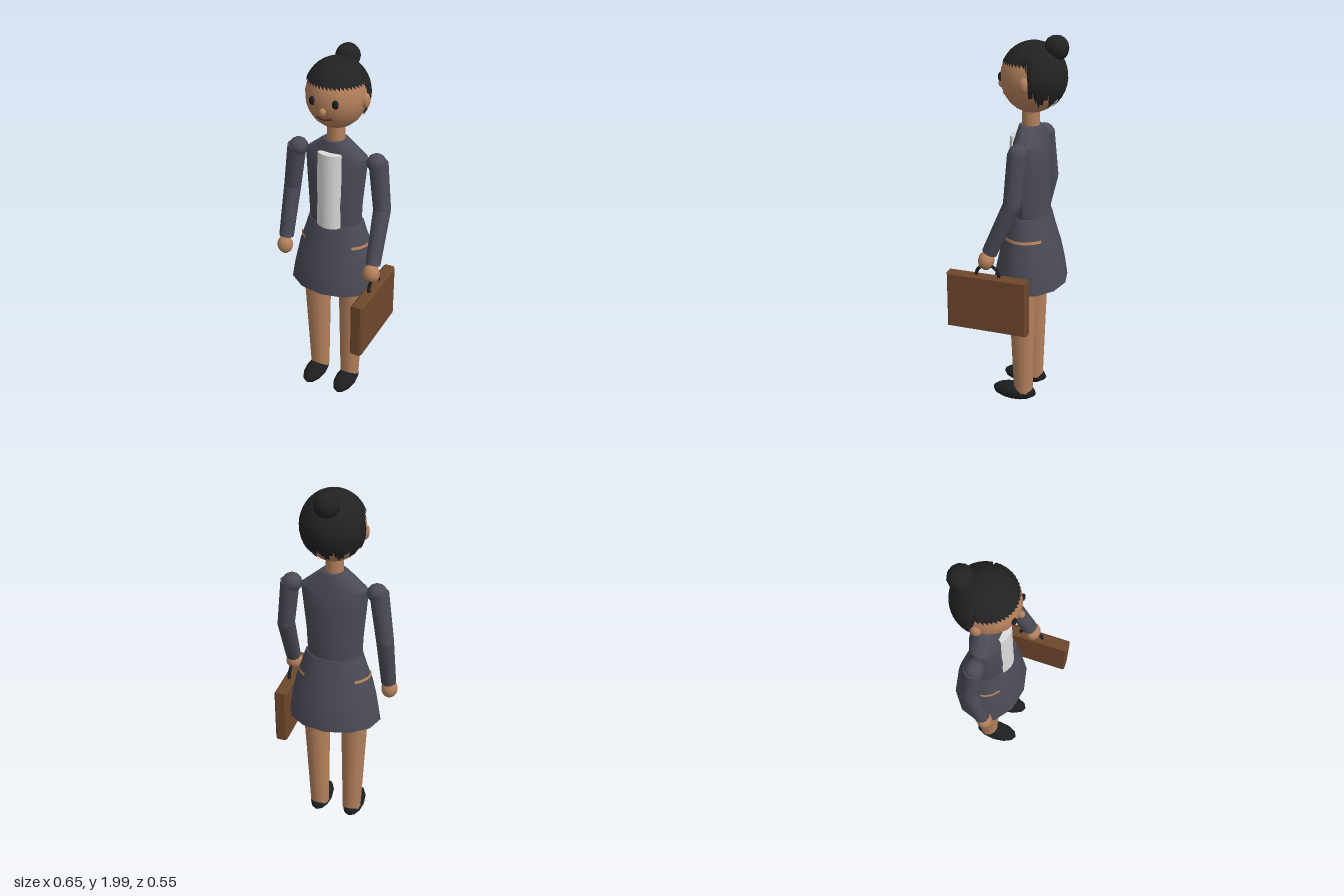
import * as THREE from 'three';
import { mergeVertices, toCreasedNormals } from 'three/addons/utils/BufferGeometryUtils.js';

const mat = (name, color, side = THREE.FrontSide) => {
  const m = new THREE.MeshStandardMaterial({ color, side });
  m.name = name;
  return m;
};

export function createModel() {
  const skin = mat('skin', 0xb5815c);
  const suit = mat('suit', 0x4a4b56);
  const hair = mat('hair', 0x222222, THREE.DoubleSide);
  const black = mat('black', 0x1d1e20);
  const shirtWhite = mat('shirtWhite', 0xdcdcdc);
  const leather = mat('leather', 0x6e472c);
  const lip = mat('lip', 0x5c3022);

  const model = new THREE.Group();
  model.name = 'officeWorker';

  const add = (name, geo, material, parent = model) => {
    const mesh = new THREE.Mesh(geo, material);
    mesh.name = name;
    parent.add(mesh);
    return mesh;
  };

  // Ellipsoid at a centre with three radii
  const ball = (name, material, c, r, seg = 12, parent = model) => {
    const geo = new THREE.SphereGeometry(1, seg, Math.max(8, seg * 0.6 | 0));
    geo.scale(...r).translate(...c);
    return add(name, geo, material, parent);
  };

  // Tapered limb between two points
  const limb = (name, material, a, b, ra, rb, parent = model) => {
    const from = new THREE.Vector3(...a), to = new THREE.Vector3(...b);
    const dir = to.clone().sub(from);
    const mesh = add(name, new THREE.CylinderGeometry(rb, ra, dir.length(), 12), material, parent);
    mesh.position.copy(from).addScaledVector(dir, 0.5);
    mesh.quaternion.setFromUnitVectors(new THREE.Vector3(0, 1, 0), dir.normalize());
    return mesh;
  };

  // Elliptical body from rings [y, rx, rz, centre z], listed upwards
  const rings = (list, phi = 0, sweep = Math.PI * 2, seg = 12) => {
    const geo = new THREE.LatheGeometry(list.map(r => new THREE.Vector2(1, r[0])), seg, phi, sweep);
    const p = geo.attributes.position;
    for (let i = 0; i < p.count; i++) {
      const [y, rx, rz, cz] = list[i % list.length];
      p.setXYZ(i, p.getX(i) * rx, y, p.getZ(i) * rz + cz);
    }
    geo.deleteAttribute('normal');
    geo.deleteAttribute('uv');
    return toCreasedNormals(mergeVertices(geo), 0.75);
  };

  // Jacket, shirt front and skirt
  add('jacket', rings([
    [1.07, 0.146, 0.1, -0.08], [1.2, 0.152, 0.1, -0.078], [1.35, 0.166, 0.092, -0.08],
    [1.46, 0.176, 0.083, -0.083], [1.545, 0.07, 0.062, -0.078], [1.546, 0.001, 0.001, -0.078],
  ]), suit);
  add('shirtFront', rings([
    [1.075, 0.1, 0.122, -0.078], [1.3, 0.1, 0.116, -0.08], [1.49, 0.1, 0.11, -0.08],
    [1.495, 0.001, 0.001, -0.08],
  ], -0.75, 1.5, 6), mat('shirtPanel', 0xdcdcdc, THREE.DoubleSide)).material = shirtWhite;
  shirtWhite.side = THREE.DoubleSide;
  add('skirt', rings([
    [0.702, 0.001, 0.001, -0.082], [0.7, 0.252, 0.192, -0.082], [0.8, 0.236, 0.176, -0.082],
    [0.9, 0.214, 0.154, -0.082], [1.0, 0.18, 0.123, -0.082], [1.08, 0.155, 0.105, -0.08],
    [1.082, 0.001, 0.001, -0.08],
  ]), suit);

  // Slim hip slits showing skin on both sides of the skirt
  for (const s of [1, -1]) {
    add('hipSlit', rings([
      [0.963, 0.196, 0.139, -0.082], [0.977, 0.191, 0.134, -0.082],
    ], s * Math.PI / 2 - 0.8, 1.6, 6), skin);
  }

  // Legs and shoes
  for (const s of [1, -1]) {
    limb('leg', skin, [s * 0.094, 0.06, -0.073], [s * 0.106, 0.74, -0.068], 0.052, 0.076);
    ball('shoe', black, [s * 0.096, 0.053, -0.022], [0.059, 0.047, 0.124]);
  }

  // Arms
  const arm = (name, shoulder, elbow, wrist, hand, handSize) => {
    const g = new THREE.Group();
    g.name = name;
    model.add(g);
    ball('shoulder', suit, shoulder, [0.052, 0.05, 0.05], 12, g);
    const top = [shoulder[0] + Math.sign(shoulder[0]) * 0.01, shoulder[1] + 0.005, shoulder[2]];
    limb('upperSleeve', suit, elbow, top, 0.046, 0.05, g);
    ball('elbow', suit, elbow, [0.046, 0.046, 0.046], 12, g);
    limb('lowerSleeve', suit, wrist, elbow, 0.04, 0.046, g);
    ball('hand', skin, hand, handSize, 12, g);
  };
  arm('leftArm', [0.222, 1.45, -0.083], [0.266, 1.2, -0.068], [0.274, 0.935, 0.05],
    [0.274, 0.89, 0.068], [0.047, 0.05, 0.042]);
  arm('rightArm', [-0.218, 1.45, -0.083], [-0.268, 1.2, -0.1], [-0.279, 0.915, -0.035],
    [-0.281, 0.865, -0.022], [0.044, 0.053, 0.042]);

  // Briefcase with bevelled rim and arched handle
  const caseGroup = new THREE.Group();
  caseGroup.name = 'briefcase';
  caseGroup.position.set(0.284, 0.658, 0.058);
  model.add(caseGroup);
  const w = 0.208, h = 0.144;
  const panel = new THREE.Shape([[-w, -h], [w, -h], [w, h], [-w, h]].map(q => new THREE.Vector2(...q)));
  const body = new THREE.ExtrudeGeometry(panel, {
    depth: 0.046, bevelEnabled: true, bevelSize: 0.008, bevelThickness: 0.01, bevelSegments: 1,
  });
  body.translate(0, 0, -0.023).rotateY(Math.PI / 2);
  add('caseBody', body, leather, caseGroup);
  const handle = new THREE.TorusGeometry(0.062, 0.009, 6, 12, Math.PI);
  handle.rotateY(Math.PI / 2).translate(0, 0.15, 0);
  add('caseHandle', handle, black, caseGroup);

  // Neck and head
  limb('neck', skin, [0, 1.52, -0.077], [0, 1.65, -0.077], 0.046, 0.046);
  const hc = [0, 1.785, -0.085], hr = [0.156, 0.175, 0.163];
  ball('head', skin, hc, hr, 20);
  const faceZ = (x, y) =>
    hc[2] + hr[2] * Math.sqrt(1 - (x / hr[0]) ** 2 - ((y - hc[1]) / hr[1]) ** 2);
  for (const s of [1, -1]) {
    ball('ear', skin, [s * 0.153, 1.772, -0.088], [0.022, 0.04, 0.028]);
    ball('eye', black, [s * 0.061, 1.79, faceZ(0.061, 1.79) - 0.002], [0.018, 0.023, 0.012]);
  }
  ball('nose', skin, [0, 1.745, 0.077], [0.018, 0.022, 0.018]);
  const smile = [-0.042, -0.022, 0, 0.022, 0.042].map(x => {
    const y = 1.7 + 6 * x * x;
    return new THREE.Vector3(x, y, faceZ(x, y));
  });
  add('mouth', new THREE.TubeGeometry(new THREE.CatmullRomCurve3(smile), 10, 0.006, 6), lip);

  // Hair shell: straight fringe in front, toothed hem behind the ears
  const cols = 48;
  const shell = new THREE.SphereGeometry(1, cols, 12);
  const p = shell.attributes.position;
  for (let i = 0; i < p.count; i++) {
    const col = i % (cols + 1), row = Math.floor(i / (cols + 1));
    const phi = (col / cols) * Math.PI * 2;
    const behind = Math.sin(phi) < -0.05;
    const tooth = Math.abs((col % 4) - 2) / 2;
    const hem = behind ? 2.0 + 0.4 * tooth - 0.15 * Math.sin(phi) : 1.196;
    const theta = (row / 12) * hem;
    p.setXYZ(i, -Math.cos(phi) * Math.sin(theta), Math.cos(theta), Math.sin(phi) * Math.sin(theta));
  }
  shell.scale(0.167, 0.178, 0.17).translate(0, 1.79, -0.091);
  shell.computeVertexNormals();
  add('hair', shell, hair);
  ball('hairBun', hair, [0, 1.936, -0.205], [0.064, 0.064, 0.064]);

  return model;
}
